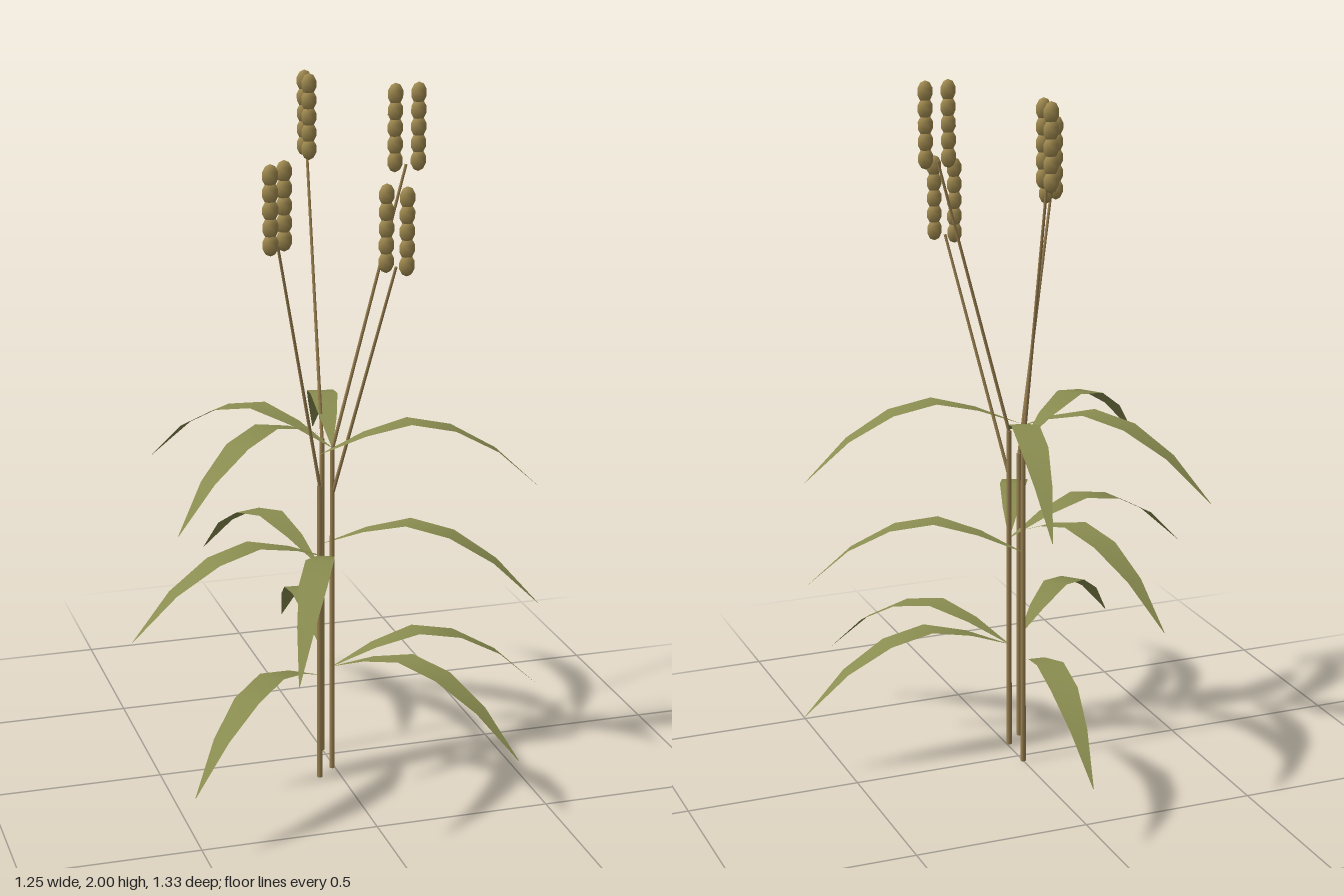
import * as THREE from 'three';

const stemMat = new THREE.MeshStandardMaterial({ color: 0x9a8050 });
stemMat.name = 'stemTan';
const leafMat = new THREE.MeshStandardMaterial({ color: 0x8a8d50, side: THREE.DoubleSide });
leafMat.name = 'leafOlive';
const grainMat = new THREE.MeshStandardMaterial({ color: 0xa08a50 });
grainMat.name = 'grainGold';

// One arching blade pointing along +x, lens shaped from above
function leafGeometry() {
  const rise = [0, 0.053, 0.085, 0.059, -0.012, -0.13];
  const geo = new THREE.PlaneGeometry(1, 1, 5, 1).rotateX(-Math.PI / 2);
  const p = geo.attributes.position;
  for (let i = 0; i < p.count; i++) {
    const t = p.getX(i) + 0.5;
    const half = 0.04 * Math.sin(Math.PI * t) + 0.001;
    p.setXYZ(i, t * 0.632, rise[Math.round(t * 5)], Math.sign(p.getZ(i)) * half);
  }
  geo.computeVertexNormals();
  return geo;
}

// Thin rod between two points
function rod(name, a, b, r0, r1) {
  const d = b.clone().sub(a);
  const mesh = new THREE.Mesh(new THREE.CylinderGeometry(r1, r0, d.length(), 6), stemMat);
  mesh.position.copy(a).addScaledVector(d, 0.5);
  mesh.quaternion.setFromUnitVectors(new THREE.Vector3(0, 1, 0), d.normalize());
  mesh.name = name;
  return mesh;
}

export function createModel() {
  const model = new THREE.Group();
  model.name = 'grassPlant';
  const leafGeo = leafGeometry();
  const grainGeo = new THREE.SphereGeometry(1, 6, 5).scale(0.023, 0.031, 0.018);

  // Each stalk: base x, base z, heading, total height
  const stalks = [
    [-0.008, 0.093, 0, 1.997],
    [-0.008, 0.093, 0.91, 1.752],
    [-0.06, 0.143, 2.41, 1.837],
    [0, -0.036, -1.487, 1.983],
  ];

  for (const [x, z, yaw, height] of stalks) {
    const stalk = new THREE.Group();
    stalk.name = 'stalk';
    stalk.position.set(x, 0, z);
    const out = (r, y) => new THREE.Vector3(r * Math.cos(yaw), y, r * Math.sin(yaw));

    // Upright stem and the leaning stem above it
    const end = height - 0.225, bend = end * 0.55;
    stalk.add(rod('stem', out(0, 0), out(0, bend), 0.008, 0.007));
    stalk.add(rod('upperStem', out(0, bend), out(0.21, end), 0.005, 0.004));

    // Three leaves spiralling up the stem
    for (let i = 0; i < 3; i++) {
      const leaf = new THREE.Mesh(leafGeo, leafMat);
      leaf.name = 'leaf';
      leaf.position.y = 0.318 + i * 0.33;
      leaf.rotation.y = -(yaw + i * 2);
      stalk.add(leaf);
    }

    // Pair of seed heads, each a stack of grains
    for (const r of [0.178, 0.245]) {
      const head = new THREE.Group();
      head.name = 'seedHead';
      head.position.copy(out(r, height - 0.031));
      for (let i = 0; i < 5; i++) {
        const grain = new THREE.Mesh(grainGeo, grainMat);
        grain.name = 'grain';
        grain.position.y = -i * 0.046;
        head.add(grain);
      }
      stalk.add(head);
    }
    model.add(stalk);
  }
  return model;
}
